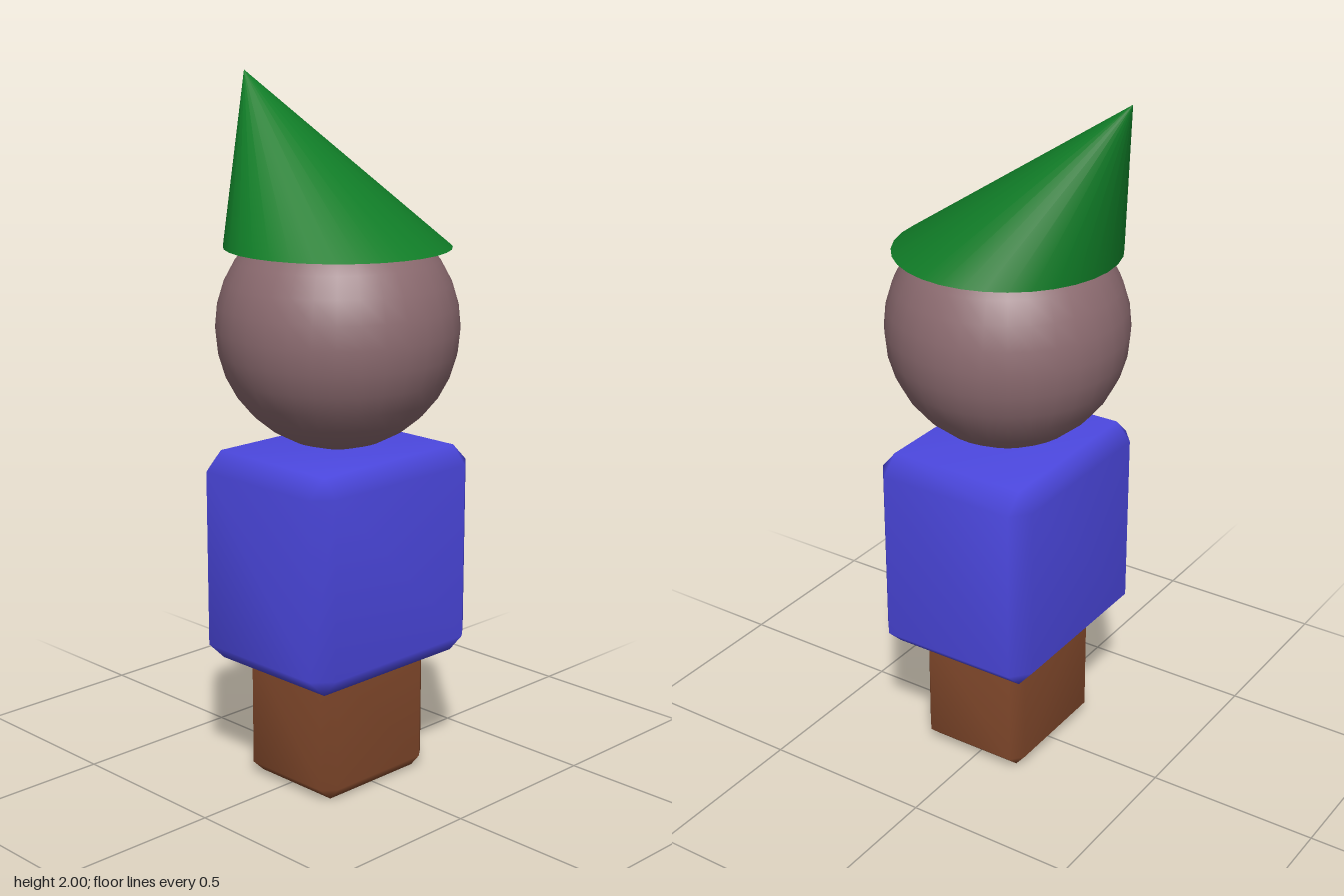
import * as THREE from 'three';
import { ConvexGeometry } from 'three/addons/geometries/ConvexGeometry.js';
import { mergeVertices } from 'three/addons/utils/BufferGeometryUtils.js';

const CENTER_X = 0.016;

// Box with every edge cut by one bevel, shaded smoothly across the bevels
function bevelledBox(w, h, d, bevel) {
  const half = [w / 2, h / 2, d / 2];
  const points = [];
  for (const sx of [-1, 1]) for (const sy of [-1, 1]) for (const sz of [-1, 1]) {
    const sign = [sx, sy, sz];
    // Each corner becomes three points, one on each meeting face
    for (let face = 0; face < 3; face++) {
      const p = half.map((v, i) => sign[i] * (i === face ? v : v - bevel[i]));
      points.push(new THREE.Vector3(...p));
    }
  }
  const geometry = new ConvexGeometry(points);
  geometry.deleteAttribute('normal');
  const welded = mergeVertices(geometry);
  welded.computeVertexNormals();
  return welded;
}

export function createModel() {
  const model = new THREE.Group();
  model.name = 'gnomeFigure';

  function add(name, geometry, color, y) {
    const material = new THREE.MeshStandardMaterial({ color, side: THREE.DoubleSide });
    const mesh = new THREE.Mesh(geometry, material);
    mesh.name = name;
    mesh.position.set(CENTER_X, y, 0);
    model.add(mesh);
  }

  // Leg block, its top tucked into the body
  add('legs', bevelledBox(0.34, 0.42, 0.41, [0.03, 0.036, 0.038]), 0x81482b, 0.21);

  // Body block
  add('body', bevelledBox(0.503, 0.616, 0.62, [0.045, 0.053, 0.055]), 0x4c48e0, 0.663);

  // Round head
  add('head', new THREE.SphereGeometry(0.34, 32, 16), 0x8c6b70, 1.315);

  // Pointed hat: a cone sheared so that its tip leans to one side
  const hatHeight = 0.46, tipShift = -0.376;
  const hat = new THREE.ConeGeometry(0.315, hatHeight, 32);
  hat.translate(0, hatHeight / 2, 0);
  hat.applyMatrix4(new THREE.Matrix4().set(
    1, tipShift / hatHeight, 0, 0,
    0, 1, 0, 0,
    0, 0, 1, 0,
    0, 0, 0, 1));
  add('hat', hat, 0x107c27, 1.54);

  return model;
}
